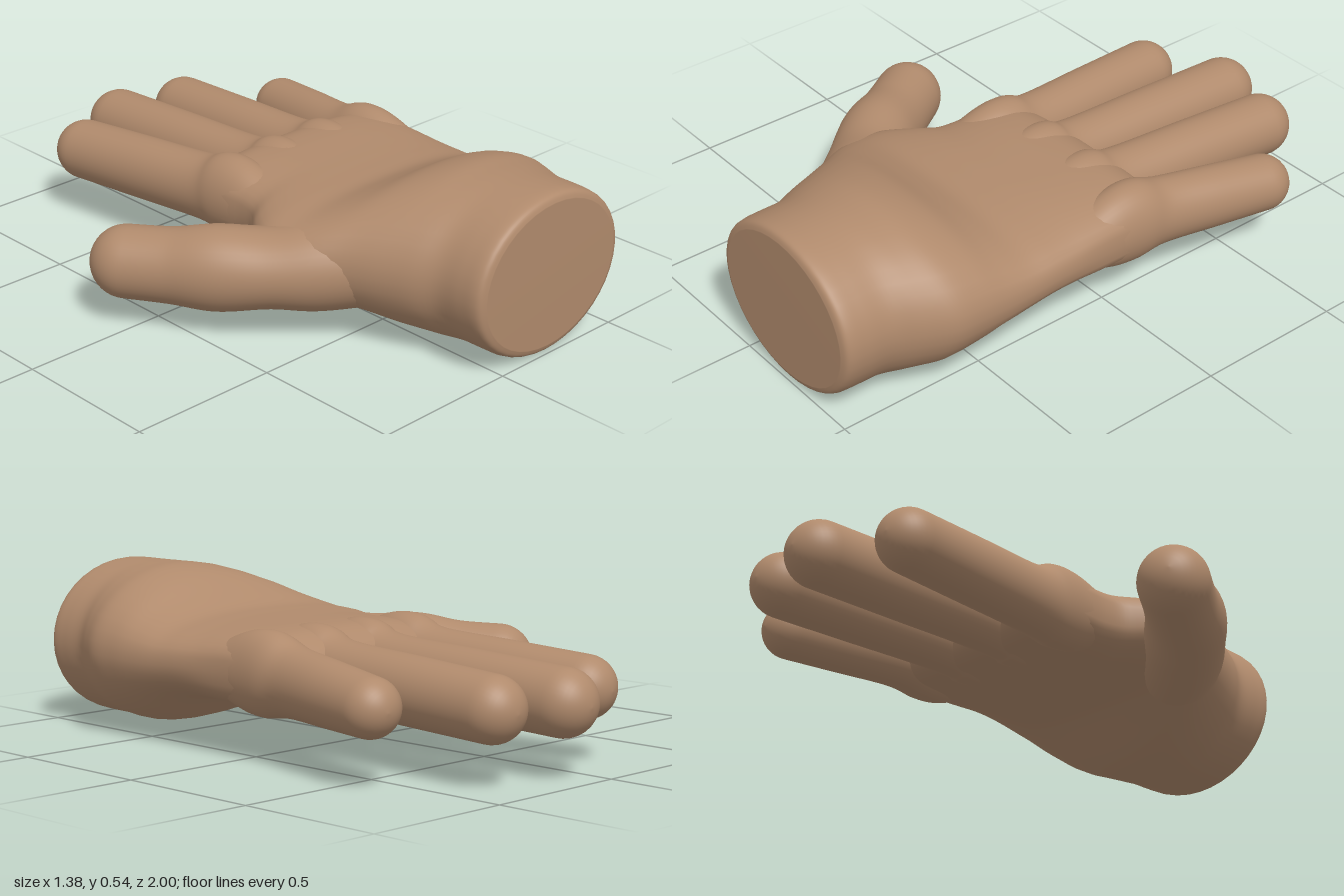
import * as THREE from 'three';

const SIDES = 40;
const X = new THREE.Vector3(1, 0, 0);
const Y = new THREE.Vector3(0, 1, 0);

// Smoothly interpolated copy of rows of numbers (uniform Catmull-Rom per column)
function smoothRows(rows, steps) {
  const out = [];
  for (let i = 0; i < rows.length - 1; i++) {
    const a = rows[Math.max(i - 1, 0)], b = rows[i], c = rows[i + 1];
    const d = rows[Math.min(i + 2, rows.length - 1)];
    for (let s = 0; s < steps; s++) {
      const t = s / steps;
      out.push(b.map((p, k) => p
        + 0.5 * t * (c[k] - a[k]
        + t * (2 * a[k] - 5 * p + 4 * c[k] - d[k]
        + t * (3 * (p - c[k]) + d[k] - a[k])))));
    }
  }
  out.push(rows[rows.length - 1]);
  return out;
}

// Closed skin over rings { c, side, up, a, b, n }; n is the superellipse power
function loft(rings) {
  const pos = [], index = [];
  const soft = (v, n) => Math.sign(v) * Math.abs(v) ** (2 / n);
  for (const r of rings) {
    for (let j = 0; j < SIDES; j++) {
      const th = (j / SIDES) * Math.PI * 2;
      const p = r.c.clone()
        .addScaledVector(r.side, r.a * soft(Math.cos(th), r.n))
        .addScaledVector(r.up, r.b * soft(Math.sin(th), r.n));
      pos.push(p.x, p.y, p.z);
    }
  }
  const last = rings.length - 1;
  const start = rings.length * SIDES, end = start + 1;
  pos.push(...rings[0].c.toArray(), ...rings[last].c.toArray());
  for (let j = 0; j < SIDES; j++) {
    const k = (j + 1) % SIDES;
    index.push(start, j, k, end, last * SIDES + k, last * SIDES + j);
    for (let i = 0; i < last; i++) {
      const a = i * SIDES + j, b = i * SIDES + k;
      index.push(a, a + SIDES, b, b, a + SIDES, b + SIDES);
    }
  }
  const geo = new THREE.BufferGeometry();
  geo.setAttribute('position', new THREE.Float32BufferAttribute(pos, 3));
  geo.setIndex(index);
  geo.computeVertexNormals();
  return geo;
}

// Round-tipped digit through keys [x, y, z, side radius, up radius]
function digit(keys) {
  const rows = smoothRows(keys, 8);
  const rings = rows.map((r, i) => {
    const p = rows[Math.max(i - 1, 0)], q = rows[Math.min(i + 1, rows.length - 1)];
    const dir = new THREE.Vector3(q[0] - p[0], q[1] - p[1], q[2] - p[2]).normalize();
    const side = dir.clone().cross(Y).normalize();
    const up = side.clone().cross(dir);
    return { c: new THREE.Vector3(r[0], r[1], r[2]), dir, side, up, a: r[3], b: r[4], n: 2 };
  });
  const tip = rings[rings.length - 1];
  for (let i = 1; i <= 10; i++) {
    const f = (i / 10.2) * Math.PI / 2;
    rings.push({
      ...tip,
      c: tip.c.clone().addScaledVector(tip.dir, tip.a * Math.sin(f)),
      a: tip.a * Math.cos(f),
      b: tip.b * Math.cos(f),
    });
  }
  return loft(rings);
}

// Wrist and palm stations: [z, x min, x max, y min, y max, power]
const PALM = [
  [1.0, -0.085, 0.495, 0.03, 0.505, 2],
  [0.99, -0.108, 0.518, 0.01, 0.525, 2],
  [0.965, -0.118, 0.528, 0.002, 0.533, 2],
  [0.91, -0.12, 0.53, 0, 0.535, 2],
  [0.83, -0.125, 0.535, 0, 0.535, 2],
  [0.75, -0.165, 0.575, 0, 0.535, 2],
  [0.66, -0.205, 0.615, 0.003, 0.533, 2],
  [0.56, -0.25, 0.62, 0.03, 0.505, 2.1],
  [0.46, -0.31, 0.617, 0.075, 0.45, 2.3],
  [0.37, -0.34, 0.614, 0.112, 0.412, 2.5],
  [0.28, -0.33, 0.612, 0.13, 0.404, 2.6],
  [0.2, -0.28, 0.61, 0.135, 0.402, 2.7],
  [0.13, -0.22, 0.608, 0.137, 0.401, 2.9],
  [0.06, -0.2, 0.607, 0.138, 0.401, 3.1],
  [-0.02, -0.2, 0.608, 0.14, 0.4, 3.2],
  [-0.1, -0.203, 0.61, 0.143, 0.392, 3.2],
  [-0.16, -0.195, 0.603, 0.155, 0.368, 3],
  [-0.2, -0.17, 0.58, 0.18, 0.335, 2.6],
  [-0.22, -0.12, 0.53, 0.22, 0.29, 2.2],
];

// Fingers: knuckle x, x at the web, tip [x, y, z], base radius, tip radius
const FINGERS = {
  indexFinger: [-0.1, -0.105, [-0.162, 0.23, -0.765], 0.1, 0.102],
  middleFinger: [0.1, 0.1, [0.095, 0.228, -0.893], 0.104, 0.107],
  ringFinger: [0.31, 0.315, [0.34, 0.23, -0.83], 0.104, 0.104],
  littleFinger: [0.513, 0.52, [0.595, 0.237, -0.588], 0.096, 0.093],
};

const THUMB = [
  [-0.02, 0.26, 0.56, 0.16, 0.15],
  [-0.2, 0.23, 0.41, 0.15, 0.145],
  [-0.31, 0.22, 0.31, 0.135, 0.128],
  [-0.42, 0.213, 0.19, 0.13, 0.138],
  [-0.5, 0.205, 0.07, 0.117, 0.122],
  [-0.58, 0.202, -0.052, 0.115, 0.117],
];

export function createModel() {
  const hand = new THREE.Group();
  hand.name = 'hand';
  const skin = new THREE.MeshStandardMaterial({ color: 0xb08a6c });
  const add = (name, geo) => {
    const mesh = new THREE.Mesh(geo, skin);
    mesh.name = name;
    hand.add(mesh);
  };

  add('wristAndPalm', loft(smoothRows(PALM, 5).map(([z, x0, x1, y0, y1, n]) => ({
    c: new THREE.Vector3((x0 + x1) / 2, (y0 + y1) / 2, z),
    side: X, up: Y, a: (x1 - x0) / 2, b: (y1 - y0) / 2, n,
  }))));

  // Each finger starts inside the palm and swells at the knuckle
  for (const [name, [kx, wx, tip, r, rTip]] of Object.entries(FINGERS)) {
    const mid = [(wx + tip[0]) / 2, (0.257 + tip[1]) / 2, (tip[2] - 0.21) / 2];
    add(name, digit([
      [kx, 0.27, 0.08, r * 0.9, 0.1],
      [kx, 0.27, -0.01, r, 0.13],
      [kx, 0.269, -0.1, r + 0.006, 0.136],
      [wx, 0.257, -0.21, r, 0.112],
      [...mid, (r + rTip) / 2, (rTip + 0.112) / 2],
      [...tip, rTip, rTip],
    ]));
  }

  add('thumb', digit(THUMB));
  return hand;
}
